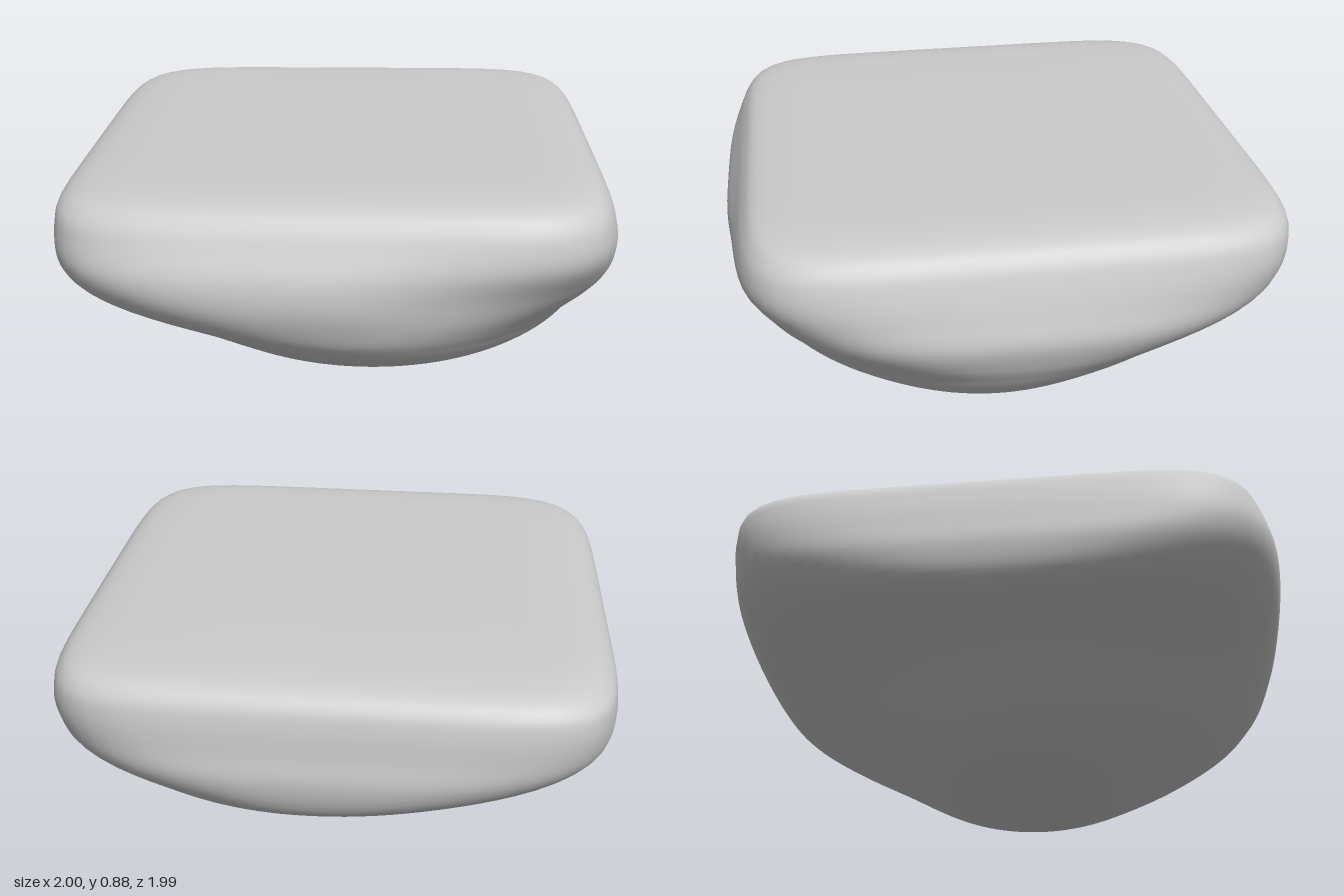
import * as THREE from 'three';

// Horizontal sections, bottom to top: y, xMin, xMax, zMin, zMax, squareness
const SECTIONS = [
  [0.005, 0.16, 0.18, 0.02, 0.04, 2],
  [0.02, -0.08, 0.33, -0.17, 0.20, 2],
  [0.05, -0.23, 0.47, -0.30, 0.33, 2],
  [0.10, -0.40, 0.60, -0.42, 0.47, 2],
  [0.20, -0.58, 0.76, -0.60, 0.68, 2],
  [0.30, -0.71, 0.87, -0.79, 0.84, 2.05],
  [0.38, -0.85, 0.93, -0.92, 0.92, 2.2],
  [0.45, -0.96, 0.97, -0.975, 0.96, 2.7],
  [0.55, -1.00, 1.00, -1.00, 0.99, 4],
  [0.65, -1.00, 0.98, -0.99, 0.985, 5.5],
  [0.75, -0.99, 0.95, -0.98, 0.945, 6.5],
  [0.82, -0.97, 0.92, -0.96, 0.91, 7],
  [0.865, -0.91, 0.87, -0.91, 0.865, 7],
  [0.885, -0.80, 0.77, -0.80, 0.77, 6.5],
  [0.89, -0.60, 0.60, -0.60, 0.60, 6],
  [0.892, -0.30, 0.30, -0.30, 0.30, 5],
  [0.893, -0.01, 0.01, -0.01, 0.01, 4],
];

const SIDES = 128;
const RINGS = 96;

// Smooth path through three columns of the section list
function columnCurve(a, b, c) {
  const points = SECTIONS.map((s) => new THREE.Vector3(s[a], s[b], s[c]));
  return new THREE.CatmullRomCurve3(points, false, 'catmullrom', 0.5);
}

function rockGeometry() {
  const xCurve = columnCurve(0, 1, 2);
  const zCurve = columnCurve(3, 4, 5);
  const positions = [];
  const indices = [];

  for (let i = 0; i <= RINGS; i++) {
    const { x: y, y: x0, z: x1 } = xCurve.getPoint(i / RINGS);
    const { x: z0, y: z1, z: n } = zCurve.getPoint(i / RINGS);
    // The front and left walls swell most around mid height
    const swell = Math.exp(-(((y - 0.55) / 0.14) ** 2));
    for (let j = 0; j < SIDES; j++) {
      const angle = (j / SIDES) * Math.PI * 2;
      const c = Math.cos(angle);
      const s = Math.sin(angle);
      const r = (Math.abs(c) ** n + Math.abs(s) ** n) ** (-1 / n);
      let x = (x0 + x1) / 2 + (c * r * (x1 - x0)) / 2;
      let z = (z0 + z1) / 2 + (s * r * (z1 - z0)) / 2;
      const frontDip = THREE.MathUtils.smoothstep(x, -0.1, 0.8);
      const leftDip = z * z;
      if (z > 0) z *= 1 - 0.08 * swell * frontDip;
      if (x > 0) x *= 1 - 0.07 * swell * leftDip;
      // The top slopes down very slightly towards the right
      const tilt = 0.006 * (x - 1) * THREE.MathUtils.smoothstep(y, 0.6, 0.88);
      positions.push(x, y + tilt, z);
    }
  }

  for (let i = 0; i < RINGS; i++) {
    for (let j = 0; j < SIDES; j++) {
      const a = i * SIDES + j;
      const b = i * SIDES + ((j + 1) % SIDES);
      indices.push(a, a + SIDES, b, b, a + SIDES, b + SIDES);
    }
  }

  // Close the tiny openings at the lowest point and the middle of the top
  const last = RINGS * SIDES;
  for (let j = 1; j < SIDES - 1; j++) {
    indices.push(0, j, j + 1, last, last + j + 1, last + j);
  }

  const geometry = new THREE.BufferGeometry();
  geometry.setAttribute('position', new THREE.Float32BufferAttribute(positions, 3));
  geometry.setIndex(indices);
  geometry.computeVertexNormals();
  return geometry;
}

export function createModel() {
  const group = new THREE.Group();
  group.name = 'flatToppedRock';
  const material = new THREE.MeshStandardMaterial({ color: 0xcccccc });
  const rock = new THREE.Mesh(rockGeometry(), material);
  rock.name = 'rock';
  group.add(rock);
  return group;
}
